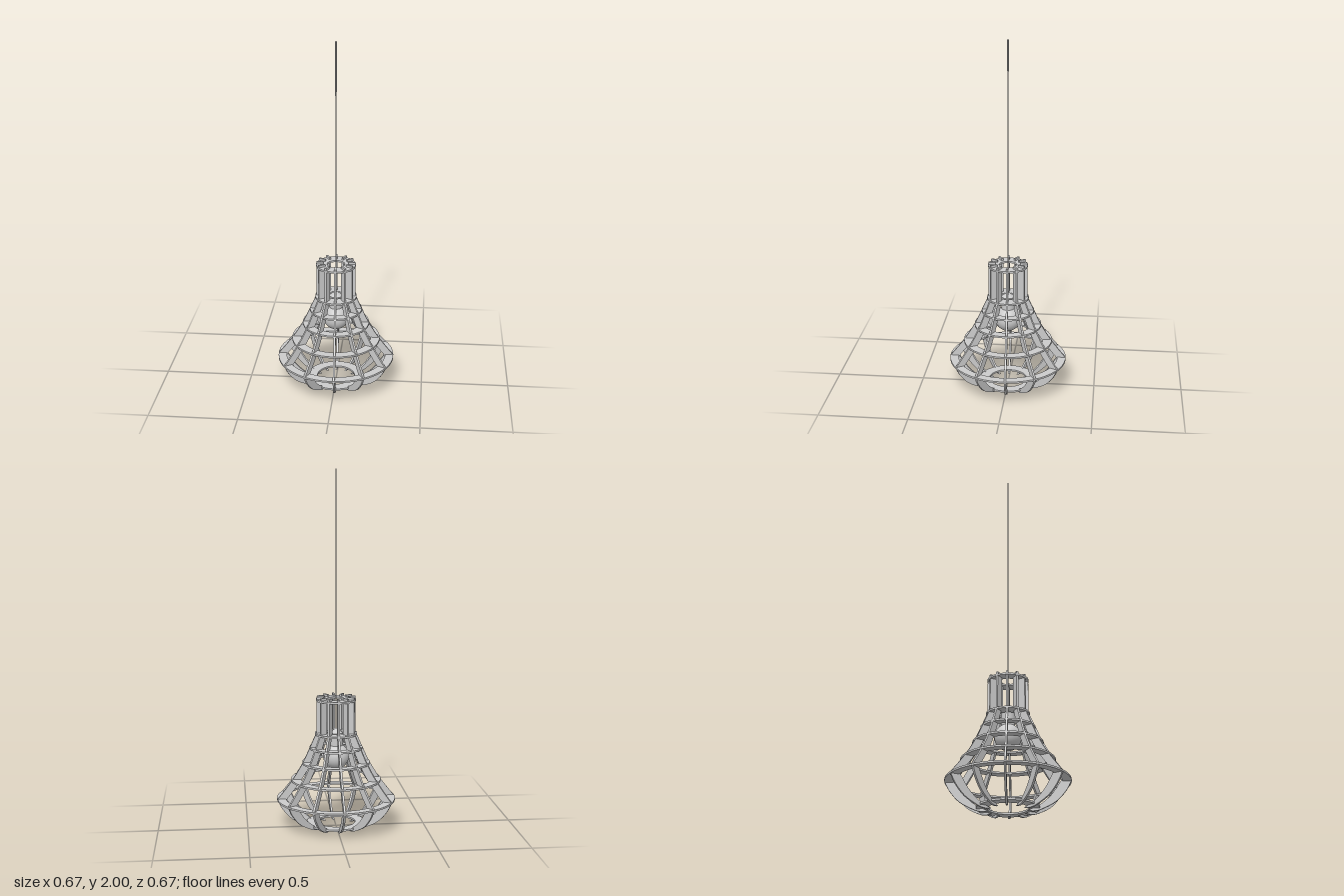
import * as THREE from 'three';

export function createModel() {
  const group = new THREE.Group();
  const material = new THREE.MeshStandardMaterial({ color: 0xcccccc });
  const add = (name, geometry, parent = group) => {
    const mesh = new THREE.Mesh(geometry, material);
    mesh.name = name;
    parent.add(mesh);
    return mesh;
  };

  // Flat rib outline: radius across, height up
  const rib = new THREE.Shape();
  rib.moveTo(0.07, 0.746);
  rib.lineTo(0.11, 0.746);
  rib.lineTo(0.11, 0.545);
  rib.splineThru([[0.15, 0.455], [0.19, 0.37], [0.25, 0.272], [0.333, 0.165]].map(p => new THREE.Vector2(...p)));
  rib.splineThru([[0.305, 0.11], [0.25, 0.05], [0.17, 0.008], [0.13, 0]].map(p => new THREE.Vector2(...p)));
  rib.lineTo(0.1, 0.004);
  rib.splineThru([[0.16, 0.03], [0.225, 0.085], [0.28, 0.165]].map(p => new THREE.Vector2(...p)));
  rib.splineThru([[0.2, 0.27], [0.145, 0.365], [0.105, 0.455], [0.07, 0.545]].map(p => new THREE.Vector2(...p)));
  rib.closePath();
  const thickness = 0.011;
  const ribGeometry = new THREE.ExtrudeGeometry(rib, { depth: thickness, bevelEnabled: false, curveSegments: 12 });
  ribGeometry.translate(0, 0, -thickness / 2);

  // Twelve ribs around the axis, turned slightly off the front
  const ribs = new THREE.Group();
  ribs.name = 'ribs';
  group.add(ribs);
  for (let i = 0; i < 12; i++) {
    add('rib', ribGeometry, ribs).rotation.y = i * Math.PI / 6 + 0.047;
  }

  // Flat rings threaded through the ribs: [height, inner radius, outer radius]
  const rings = new THREE.Group();
  rings.name = 'rings';
  group.add(rings);
  const ringHeight = 0.01;
  for (const [y, inner, outer] of [
    [0.02, 0.108, 0.165],
    [0.163, 0.285, 0.333],
    [0.273, 0.201, 0.252],
    [0.37, 0.14, 0.19],
    [0.455, 0.1, 0.148],
    [0.535, 0.05, 0.118],
    [0.728, 0.05, 0.112],
  ]) {
    const disc = new THREE.Shape().absarc(0, 0, outer, 0, Math.PI * 2);
    disc.holes.push(new THREE.Path().absarc(0, 0, inner, 0, Math.PI * 2, true));
    const geometry = new THREE.ExtrudeGeometry(disc, { depth: ringHeight, bevelEnabled: false, curveSegments: 64 });
    geometry.rotateX(-Math.PI / 2);
    add('ring', geometry, rings).position.y = y - ringHeight / 2;
  }

  // Lamp holder with a conical cap
  add('socket', new THREE.CylinderGeometry(0.037, 0.037, 0.085, 32)).position.y = 0.4975;
  add('socketCap', new THREE.CylinderGeometry(0.004, 0.037, 0.025, 32)).position.y = 0.5525;

  // Round bulb
  add('bulb', new THREE.SphereGeometry(0.073, 32, 24)).position.y = 0.405;

  // Hanging cord
  add('cord', new THREE.CylinderGeometry(0.004, 0.004, 1.44, 12)).position.y = 1.28;

  return group;
}
